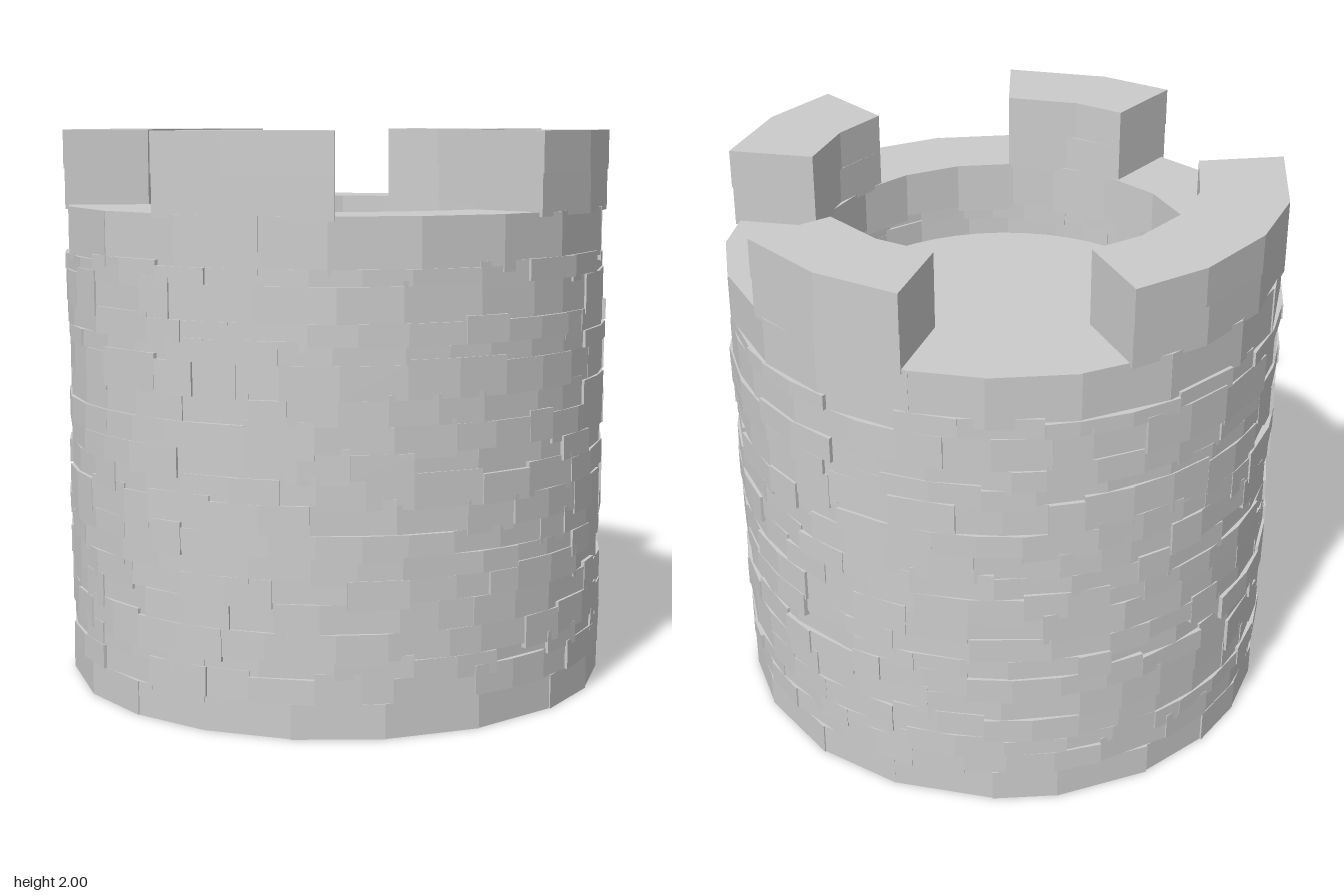
import * as THREE from 'three';
import { mergeGeometries } from 'three/addons/utils/BufferGeometryUtils.js';

const INNER = 0.69, OUTER = 0.992;
const DEG = Math.PI / 180;

// Small seeded generator, so the masonry is always laid the same way
function seeded(seed) {
  return () => {
    seed = (seed * 1664525 + 1013904223) % 4294967296;
    return seed / 4294967296;
  };
}

// Wall block: a box bent around the tower, angle a0..a1 measured from +z towards +x
function block(a0, a1, y0, y1, r0, r1, segments = 1) {
  const geometry = new THREE.BoxGeometry(1, 1, 1, segments, 1, 1);
  const p = geometry.attributes.position;
  for (let i = 0; i < p.count; i++) {
    const a = a0 + (p.getX(i) + 0.5) * (a1 - a0);
    const r = r0 + (p.getZ(i) + 0.5) * (r1 - r0);
    p.setXYZ(i, r * Math.sin(a), y0 + (p.getY(i) + 0.5) * (y1 - y0), r * Math.cos(a));
  }
  const flat = geometry.toNonIndexed();
  flat.computeVertexNormals();
  return flat;
}

// Cuts a full turn into stones of uneven width
function splitTurn(count, variation, random) {
  const widths = Array.from({ length: count }, () => 1 + (random() - 0.5) * variation);
  const total = widths.reduce((sum, w) => sum + w, 0);
  let a = random() * Math.PI * 2;
  return widths.map((w) => {
    const start = a;
    a += (w / total) * Math.PI * 2;
    return [start, a];
  });
}

export function createModel() {
  const tower = new THREE.Group();
  tower.name = 'roundTower';
  const stone = new THREE.MeshStandardMaterial({ color: 0xcccccc, flatShading: true });
  const random = seeded(7);

  const add = (name, geometries, parent = tower) => {
    const mesh = new THREE.Mesh(mergeGeometries(geometries), stone);
    mesh.name = name;
    parent.add(mesh);
  };

  // Base course of larger stones
  add('baseCourse', splitTurn(20, 0.5, random).map(([a0, a1]) =>
    block(a0, a1, 0, 0.12, INNER, OUTER - random() * 0.008)));

  // Irregular brick courses, some bricks taller than their course
  const levels = [0.12, 0.205, 0.265, 0.36, 0.46, 0.54, 0.615, 0.69, 0.79, 0.875,
    0.96, 1.05, 1.135, 1.25, 1.31, 1.385, 1.505, 1.56];
  const courses = new THREE.Group();
  courses.name = 'brickCourses';
  tower.add(courses);
  for (let i = 0; i < levels.length - 1; i++) {
    const bricks = splitTurn(26, 1.1, random).map(([a0, a1]) => {
      const down = random() < 0.3 ? 0.018 : 0;
      const up = random() < 0.3 ? 0.018 : 0;
      const r0 = INNER + random() * 0.012;
      const r1 = OUTER + 0.006 - random() * 0.016;
      return block(a0, a1, levels[i] - down, levels[i + 1] + up, r0, r1,
        a1 - a0 > 17 * DEG ? 2 : 1);
    });
    add('brickCourse' + (i + 1), bricks, courses);
  }

  // Tall course that carries the battlements
  add('topCourse', splitTurn(20, 0.6, random).map(([a0, a1]) =>
    block(a0, a1, random() < 0.4 ? 1.54 : 1.56, 1.73, INNER, OUTER - random() * 0.008)));

  // Merlons: two rows of stones with staggered joints
  const merlons = [[-10.5, 27], [71, 108.4], [152, 189.3], [-93.4, -54.5], [-127.7, -93.4]];
  merlons.forEach(([from, to], n) => {
    const rows = [[1.715, 1.86, 0.5], [1.86, 2, 0.42 + 0.05 * (n % 3)]];
    const stones = rows.flatMap(([y0, y1, joint], row) => {
      const a0 = from * DEG, a1 = to * DEG, mid = a0 + (a1 - a0) * joint;
      const r1 = OUTER + (row ? 0.004 : 0);
      return [block(a0, mid, y0, y1, INNER, r1), block(mid, a1, y0, y1, INNER, r1)];
    });
    add('merlon' + (n + 1), stones);
  });

  // Floor disc inside the battlements
  const floor = new THREE.Mesh(new THREE.CircleGeometry(0.685, 48),
    new THREE.MeshStandardMaterial({ color: 0xcccccc, side: THREE.DoubleSide }));
  floor.name = 'roofFloor';
  floor.rotation.x = -Math.PI / 2;
  floor.position.set(0, 1.435, 0.01);
  tower.add(floor);

  return tower;
}
